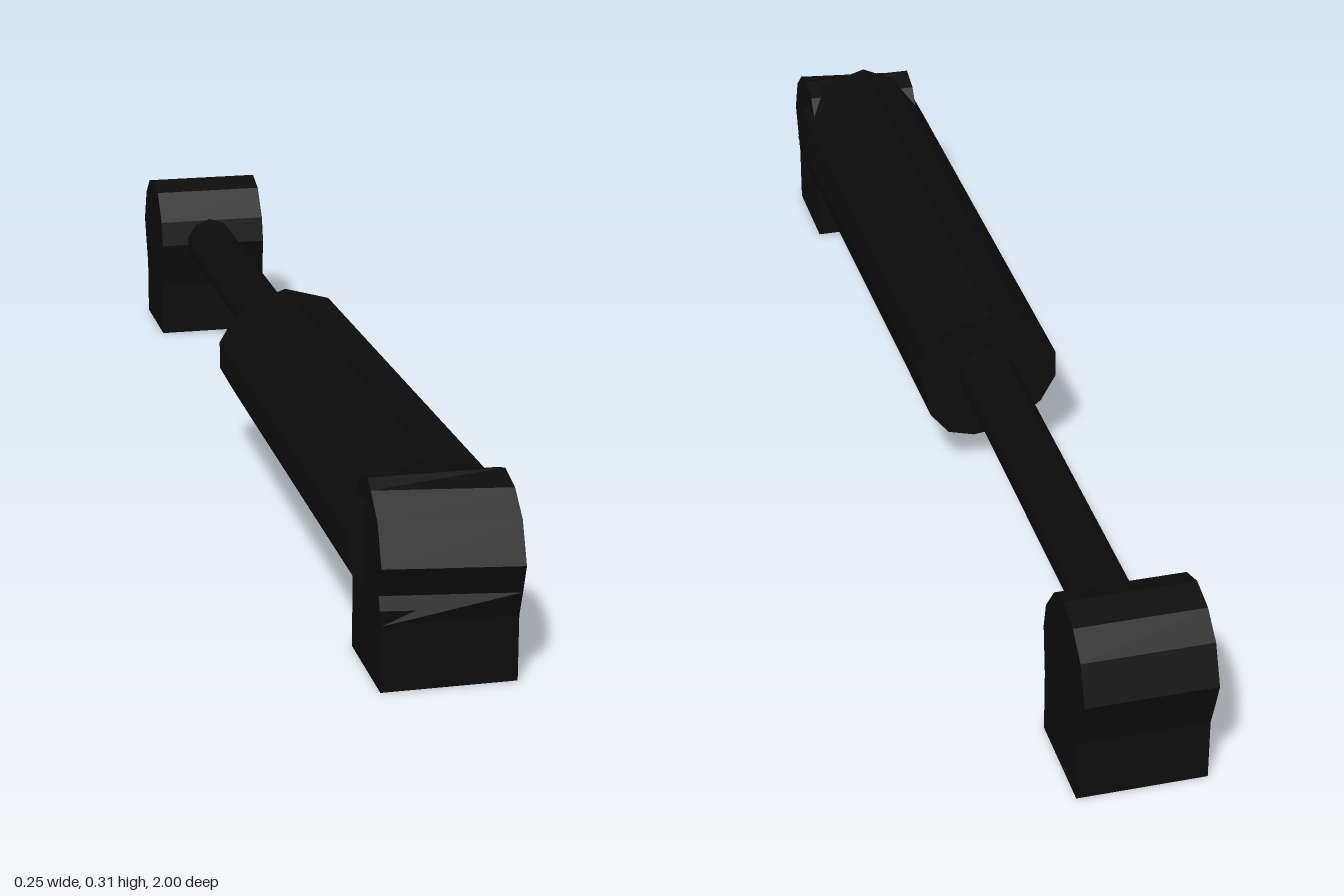
import * as THREE from 'three';

const black = new THREE.MeshStandardMaterial({ color: 0x0c0c0c });
black.name = 'black';

const toShape = (pts) => new THREE.Shape(pts.map(([x, y]) => new THREE.Vector2(x, y)));
const extrude = (pts, depth) =>
  new THREE.ExtrudeGeometry(toShape(pts), { depth, bevelEnabled: false });

// Move every vertex by a rule and refresh the normals
function bend(geometry, rule) {
  const p = geometry.attributes.position;
  const v = new THREE.Vector3();
  for (let i = 0; i < p.count; i++) {
    rule(v.fromBufferAttribute(p, i));
    p.setXYZ(i, v.x, v.y, v.z);
  }
  geometry.computeVertexNormals();
  return geometry;
}

function part(parent, name, geometry) {
  const mesh = new THREE.Mesh(geometry, black);
  mesh.name = name;
  parent.add(mesh);
  return mesh;
}

// Rounded eye seen from the side: distance from the centre, height
const EYE = [[0.8, 0.1], [0.97, 0.1], [0.985, 0.14], [1, 0.185], [0.975, 0.245],
  [0.935, 0.278], [0.885, 0.29], [0.84, 0.275], [0.8, 0.225], [0.79, 0.18]];

// Slightly uneven barrel outline
const BARREL = [[-0.01, 0.31], [-0.07, 0.283], [-0.11, 0.235], [-0.125, 0.205],
  [-0.125, 0.155], [-0.1, 0.11], [-0.045, 0.067], [0.02, 0.06], [0.07, 0.072],
  [0.105, 0.11], [0.122, 0.18], [0.112, 0.23], [0.075, 0.285]];

function mount(name, skew) {
  const group = new THREE.Group();
  group.name = name;
  const foot = part(group, 'foot', new THREE.BoxGeometry(0.2, 0.12, 0.17));
  foot.position.set(0, 0.06, 0.885);
  const eye = extrude(EYE, 0.2).rotateY(-Math.PI / 2).translate(0.1, 0, 0);
  part(group, 'eye', bend(eye, (v) => {
    if (v.z > 0.9 && v.y > 0.12) v.z += (v.x - 0.1) * skew;
  }));
  return group;
}

export function createModel() {
  const model = new THREE.Group();
  model.name = 'damper';

  // End mounts
  const front = mount('frontMount', 0.15);
  const back = mount('backMount', 0);
  back.rotation.y = Math.PI;
  model.add(front, back);

  // Barrel, a little smaller at its rear end
  const barrel = extrude(BARREL, 0.945).translate(0, 0, -0.075);
  part(model, 'barrel', bend(barrel, (v) => {
    if (v.z > 0) return;
    if (v.y > 0.18) v.y = 0.18 + (v.y - 0.18) * 0.84;
    if (v.x > 0) v.x *= 0.88;
  }));

  // Piston rod
  const rod = part(model, 'rod', new THREE.CylinderGeometry(0.047, 0.047, 0.76, 10));
  rod.rotation.x = Math.PI / 2;
  rod.position.set(-0.004, 0.18, -0.44);
  return model;
}
